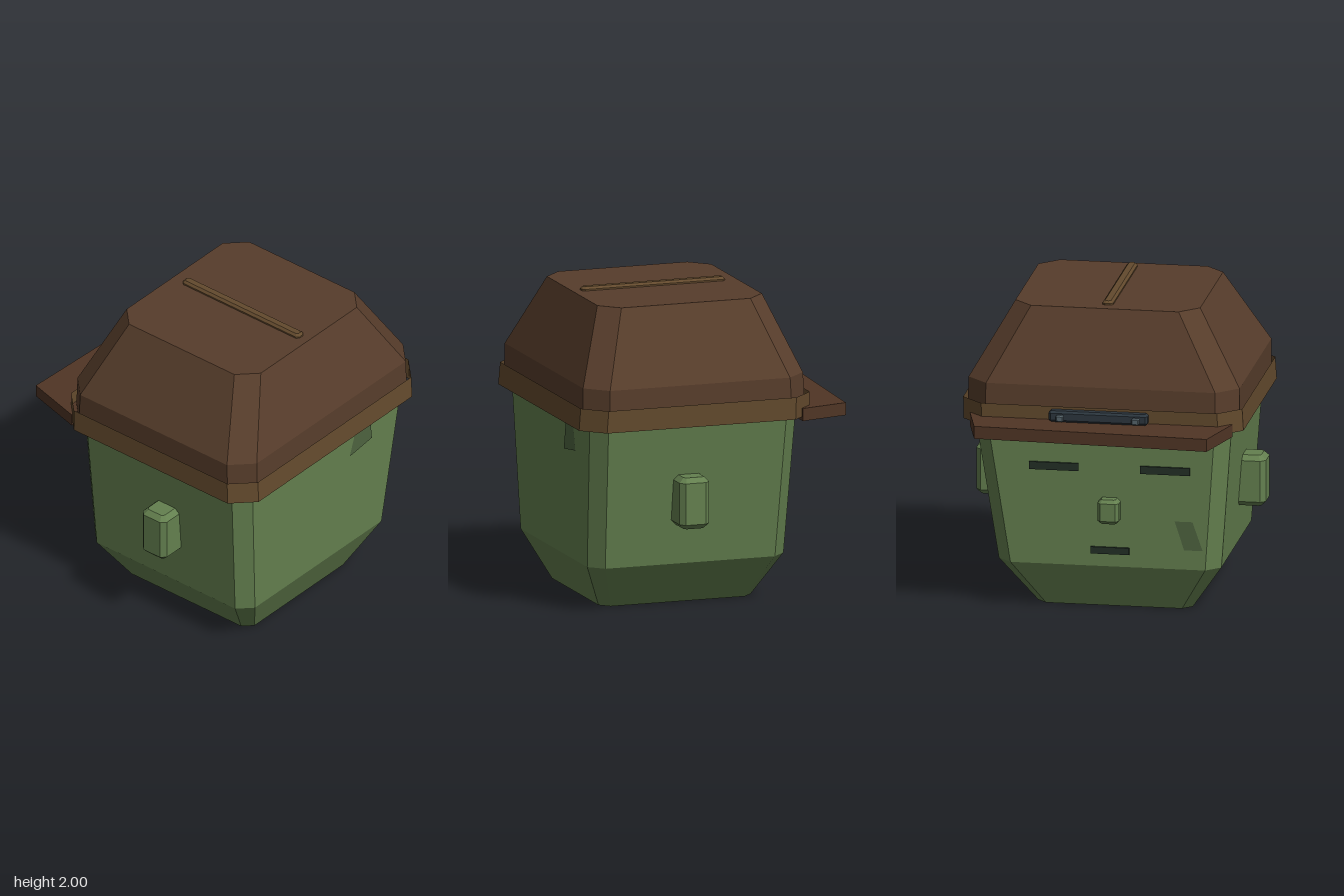
import * as THREE from 'three';

const mat = (color, side = THREE.FrontSide) =>
  new THREE.MeshStandardMaterial({ color, flatShading: true, side });
const skin = mat(0x64804f);
const patchSkin = mat(0x4f6540, THREE.DoubleSide);
const felt = mat(0x573d2b);
const bandMat = mat(0x634a2d, THREE.DoubleSide);
const visorMat = mat(0x503525);
const metal = mat(0x2c363e);
const boltMat = mat(0x55646b);
const dark = mat(0x232f26);

// Rectangle with cut corners at height y: [y, x0, x1, z0, z1, corner cut]
function ring([y, x0, x1, z0, z1, c]) {
  return [
    [x1 - c, z1], [x1, z1 - c], [x1, z0 + c], [x1 - c, z0],
    [x0 + c, z0], [x0, z0 + c], [x0, z1 - c], [x0 + c, z1],
  ].map(([x, z]) => new THREE.Vector3(x, y, z));
}

// Flat-sided skin over rings stacked from bottom to top
function loft(rings, capped = true) {
  const tri = [];
  const n = rings[0].length;
  for (let k = 0; k < rings.length - 1; k++) {
    const a = rings[k], b = rings[k + 1];
    for (let i = 0; i < n; i++) {
      const j = (i + 1) % n;
      tri.push(a[i], a[j], b[j], a[i], b[j], b[i]);
    }
  }
  if (capped) {
    const lo = rings[0], hi = rings[rings.length - 1];
    for (let i = 1; i < n - 1; i++) {
      tri.push(hi[0], hi[i], hi[i + 1], lo[0], lo[i + 1], lo[i]);
    }
  }
  const geo = new THREE.BufferGeometry().setFromPoints(tri);
  geo.computeVertexNormals();
  return geo;
}

// Block with all edges bevelled, given by its bounds
function bevelBlock(x0, x1, y0, y1, z0, z1, b) {
  return loft([
    [y0, x0 + b, x1 - b, z0 + b, z1 - b, b / 2],
    [y0 + b, x0, x1, z0, z1, b],
    [y1 - b, x0, x1, z0, z1, b],
    [y1, x0 + b, x1 - b, z0 + b, z1 - b, b / 2],
  ].map(ring));
}

export function createModel() {
  const model = new THREE.Group();
  model.name = 'cappedHead';
  const add = (name, geo, material) => {
    const mesh = new THREE.Mesh(geo, material);
    mesh.name = name;
    model.add(mesh);
    return mesh;
  };
  const box = (name, w, h, d, x, y, z, material) =>
    add(name, new THREE.BoxGeometry(w, h, d), material).position.set(x, y, z);

  // Head with tapered jaw
  add('head', loft([
    [0, -0.54, 0.46, -0.36, 0.67, 0.06],
    [0.3, -0.745, 0.695, -0.51, 0.82, 0.09],
    [1.37, -0.825, 0.865, -0.543, 0.86, 0.095],
  ].map(ring)), skin);

  // Ears and nose
  add('rightEar', bevelBlock(-0.94, -0.7, 0.565, 0.9, 0.1, 0.3, 0.032), skin);
  add('leftEar', bevelBlock(0.65, 0.935, 0.565, 0.9, 0.1, 0.3, 0.032), skin);
  add('nose', bevelBlock(-0.11, 0.03, 0.6, 0.76, -0.61, -0.48, 0.022), skin);

  // Slit eyes and mouth
  box('leftEye', 0.32, 0.05, 0.05, 0.32, 0.955, -0.52, dark);
  box('rightEye', 0.32, 0.05, 0.05, -0.4, 0.955, -0.52, dark);
  box('mouth', 0.25, 0.045, 0.05, -0.04, 0.407, -0.503, dark);

  // Thin skin patches, each outlined around its own centre
  const patch = (name, pts, x, y, z, tilt) => {
    const shape = new THREE.Shape(pts.map(([px, py]) => new THREE.Vector2(px - x, py - y)));
    const mesh = add(name, new THREE.ShapeGeometry(shape), patchSkin);
    mesh.position.set(x, y, z);
    mesh.rotation.x = tilt;
  };
  patch('rearPatch', [[0.25, 1.005], [0.47, 1.035], [0.445, 1.205], [0.31, 1.205]],
    0.36, 1.1, 0.855, 0.037);
  patch('cheekPatch', [[-0.64, 0.43], [-0.52, 0.43], [-0.46, 0.62], [-0.575, 0.62]],
    -0.55, 0.525, -0.522, -0.031);

  // Cap crown, with open band around its rim
  add('capCrown', loft([
    [1.3, -0.868, 0.89, -0.6, 0.905, 0.135],
    [1.5, -0.868, 0.885, -0.59, 0.9, 0.135],
    [1.975, -0.585, 0.61, -0.405, 0.71, 0.12],
  ].map(ring)), felt);
  add('capBand', loft([
    [1.23, -0.898, 0.912, -0.623, 0.935, 0.14],
    [1.375, -0.89, 0.915, -0.627, 0.925, 0.14],
  ].map(ring), false), bandMat);
  add('capRidge', loft([
    [1.96, -0.025, 0.045, -0.32, 0.65, 0.018],
    [1.985, -0.025, 0.045, -0.32, 0.65, 0.018],
    [2.0, -0.01, 0.03, -0.305, 0.635, 0.012],
  ].map(ring)), bandMat);

  // Lopsided visor over the face
  const visorRing = (y) => [[0.86, -0.55], [0.78, -0.87], [-0.735, -0.935], [-0.84, -0.55]]
    .map(([x, z]) => new THREE.Vector3(x, y, z));
  add('visor', loft([visorRing(1.205), visorRing(1.287)]), visorMat);

  // Metal bar with two bolts on the visor
  add('visorBar', bevelBlock(-0.31, 0.33, 1.287, 1.36, -0.69, -0.62, 0.014), metal);
  for (const x of [-0.235, 0.255]) {
    add('visorBolt', bevelBlock(x - 0.025, x + 0.025, 1.295, 1.338, -0.718, -0.67, 0.008), boltMat);
  }

  return model;
}
